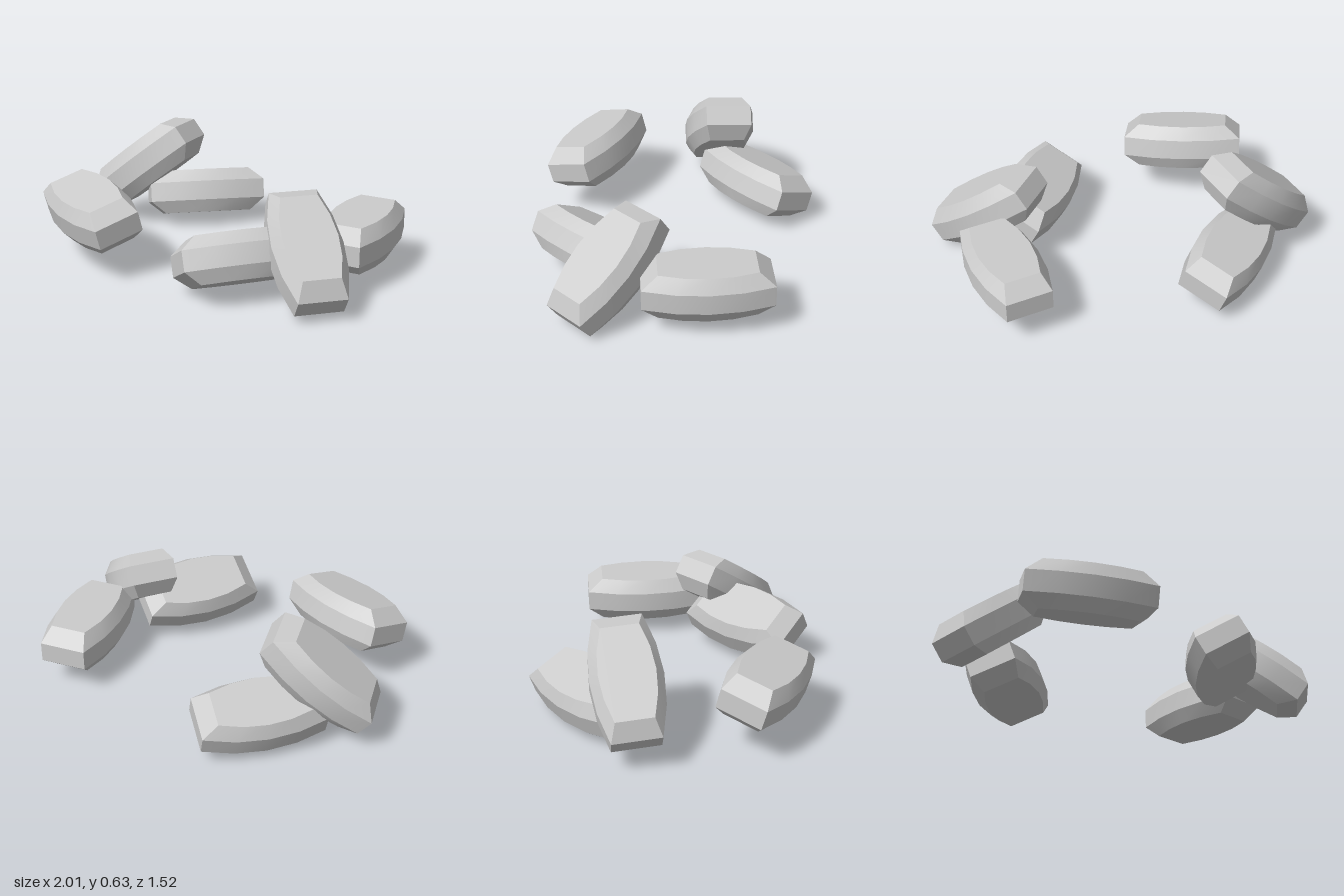
import * as THREE from 'three';
import { toCreasedNormals } from 'three/addons/utils/BufferGeometryUtils.js';

// Barrel-shaped tablet: long axis x, flat top and bottom, bevelled rim band
function stoneGeometry() {
  const halfLength = 0.335;
  const widths = [0.128, 0.173, 0.188, 0.173, 0.128];
  const outline = [];
  widths.forEach((w, i) => outline.push([halfLength * (1 - i / 2), -w]));
  widths.forEach((w, i) => outline.push([halfLength * (i / 2 - 1), w]));

  // [height, length scale, width scale] from bottom to top
  const rings = [
    [-0.126, 0.75, 0.77],
    [-0.055, 1, 1],
    [0.055, 1, 1],
    [0.126, 0.75, 0.77],
  ];
  const n = outline.length;
  const positions = [];
  const index = [];
  for (const [y, sx, sz] of rings) {
    for (const [x, z] of outline) positions.push(x * sx, y, z * sz);
  }
  for (let r = 0; r < rings.length - 1; r++) {
    for (let i = 0; i < n; i++) {
      const a = r * n + i;
      const b = r * n + (i + 1) % n;
      index.push(a, b, b + n, a, b + n, a + n);
    }
  }
  // Flat caps
  const top = (rings.length - 1) * n;
  for (let i = 1; i < n - 1; i++) {
    index.push(0, i + 1, i);
    index.push(top, top + i, top + i + 1);
  }
  const geometry = new THREE.BufferGeometry();
  geometry.setAttribute('position', new THREE.Float32BufferAttribute(positions, 3));
  geometry.setIndex(index);
  return toCreasedNormals(geometry, 0.35);
}

export function createModel() {
  const group = new THREE.Group();
  group.name = 'scatteredStones';
  const geometry = stoneGeometry();
  const material = new THREE.MeshStandardMaterial({ color: 0xcccccc });

  // Centre, then yaw, pitch (raises the +x end) and roll about the long axis
  const stones = [
    { name: 'backRightStone', at: [-0.45, 0.16, -0.435], yaw: 0.747, pitch: 0, roll: -0.35 },
    { name: 'leaningRightStone', at: [-0.695, 0.362, -0.21], yaw: 0.25, pitch: 0.68, roll: -0.08 },
    { name: 'frontRightStone', at: [-0.545, 0.29, 0.495], yaw: -0.42, pitch: -0.04, roll: 0.26 },
    { name: 'backLeftStone', at: [0.73, 0.212, -0.205], yaw: -1.447, pitch: 0, roll: 0 },
    { name: 'frontLeftStone', at: [0.375, 0.197, 0.41], yaw: 0.9, pitch: 0, roll: -0.49 },
    { name: 'leaningLeftStone', at: [0.69, 0.264, 0.295], yaw: -0.73, pitch: -0.61, roll: 0 },
  ];
  for (const { name, at, yaw, pitch, roll } of stones) {
    const stone = new THREE.Mesh(geometry, material);
    stone.name = name;
    stone.position.set(...at);
    stone.rotation.set(roll, yaw, pitch, 'YZX');
    group.add(stone);
  }
  return group;
}
